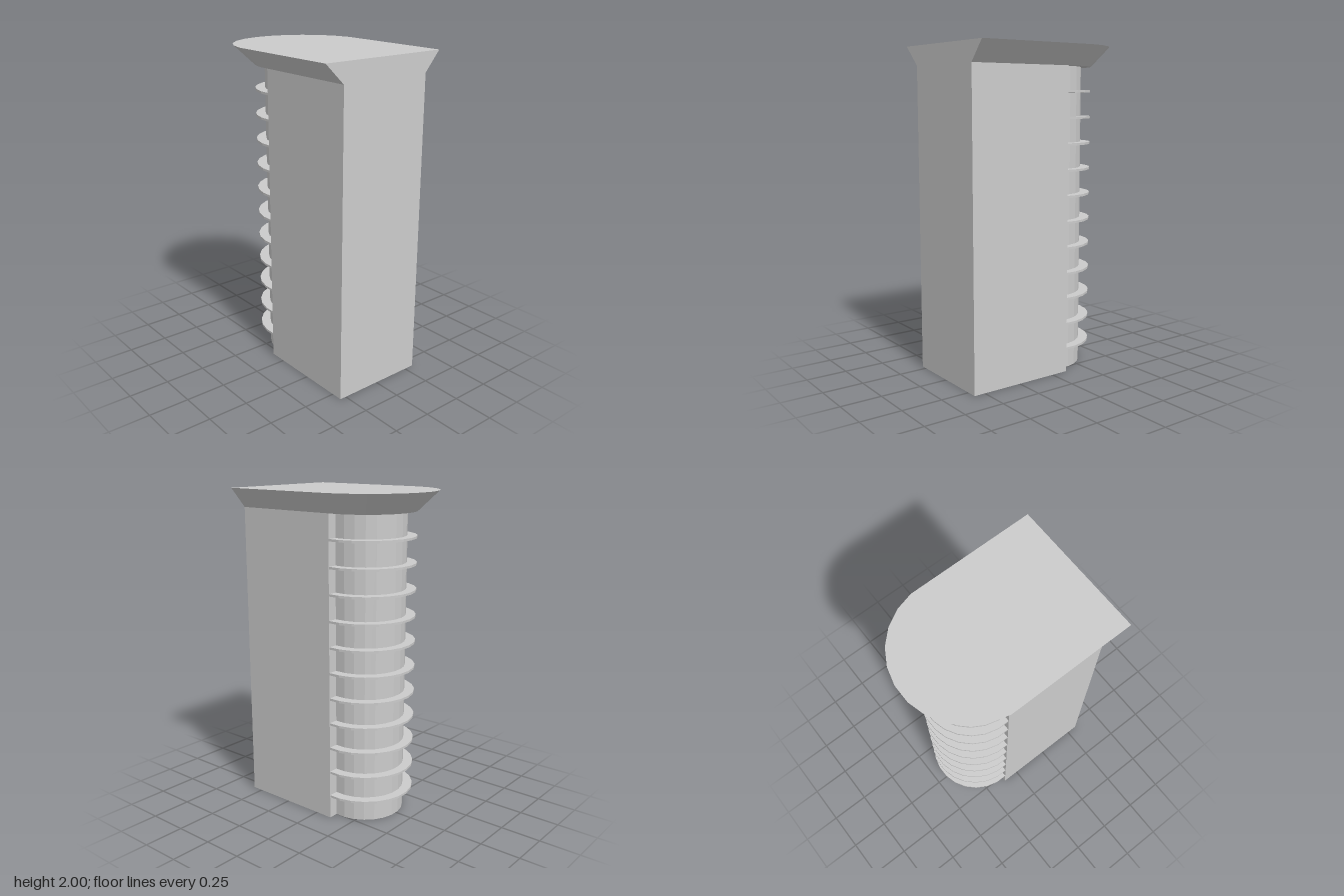
import * as THREE from 'three';

const material = new THREE.MeshStandardMaterial({ color: 0xcccccc, flatShading: true, side: THREE.DoubleSide });
const END_X = 0.57, JOIN_X = -0.11, EAVE_Y = 1.88, TOP_Y = 2;
const HALF = 0.303, MID_Z = -0.012;

// U-shaped plan: straight sides from xEnd, rounded toward -x in 15 degree facets
function uPlan(half, cx, cz, xEnd) {
  const r = half / Math.sin(THREE.MathUtils.degToRad(82.5));
  const pts = [[xEnd, cz + half]];
  for (let k = 0; k < 12; k++) {
    const a = THREE.MathUtils.degToRad(82.5 - 15 * k);
    pts.push([cx - r * Math.cos(a), cz + r * Math.sin(a)]);
  }
  pts.push([xEnd, cz - half]);
  return pts;
}

// Wall strip joining a lower plan at y0 to an upper plan at y1
function band(lower, upper, y0, y1, closed = false) {
  const pos = [], n = lower.length;
  for (let i = 0; i < (closed ? n : n - 1); i++) {
    const j = (i + 1) % n;
    const a = [lower[i][0], y0, lower[i][1]], b = [lower[j][0], y0, lower[j][1]];
    const c = [upper[j][0], y1, upper[j][1]], d = [upper[i][0], y1, upper[i][1]];
    pos.push(...b, ...a, ...d, ...b, ...d, ...c);
  }
  const g = new THREE.BufferGeometry();
  g.setAttribute('position', new THREE.Float32BufferAttribute(pos, 3));
  g.computeVertexNormals();
  return g;
}

// Flat cap over a plan, facing up or down
function cap(plan, y, up) {
  const s = up ? -1 : 1;
  const shape = new THREE.Shape(plan.map(([x, z]) => new THREE.Vector2(x, s * z)));
  return new THREE.ShapeGeometry(shape).rotateX(s * Math.PI / 2).translate(0, y, 0);
}

export function createModel() {
  const model = new THREE.Group();
  const add = (geometry, name, parent = model) => {
    const mesh = new THREE.Mesh(geometry, material);
    mesh.name = name;
    parent.add(mesh);
    return mesh;
  };

  // Hollow rectangular block with narrow returns beside the round bay
  const bayHalf = 0.242, z = (h) => MID_Z + h;
  const blockPlan = [
    [JOIN_X, z(-bayHalf)], [JOIN_X, z(-HALF)], [END_X, z(-HALF)],
    [END_X, z(HALF)], [JOIN_X, z(HALF)], [JOIN_X, z(bayHalf)],
  ];
  add(band(blockPlan, blockPlan, 0, EAVE_Y), 'blockWalls');

  // Rounded bay
  const bayPlan = uPlan(bayHalf, -0.143, MID_Z, JOIN_X);
  add(band(bayPlan, bayPlan, 0, EAVE_Y), 'roundBay');

  // Stacked thin ledges around the bay
  const ledges = new THREE.Group();
  ledges.name = 'ledges';
  model.add(ledges);
  const ledgePlan = [
    ...uPlan(HALF - 0.002, -0.143, MID_Z, JOIN_X),
    ...uPlan(0.228, -0.143, MID_Z, JOIN_X).reverse(),
  ];
  const ledgeShape = new THREE.Shape(ledgePlan.map((p) => new THREE.Vector2(...p)));
  const ledge = new THREE.ExtrudeGeometry(ledgeShape, { depth: 0.014, bevelEnabled: false }).rotateX(Math.PI / 2);
  for (let i = 0; i < 11; i++) add(ledge, 'ledge', ledges).position.y = 0.152 + i * 0.1585;

  // Flared roof, flush with the flat end
  const roof = new THREE.Group();
  roof.name = 'roof';
  model.add(roof);
  const eave = uPlan(HALF, -0.143, MID_Z, END_X);
  const rim = uPlan(0.4165, -0.15, -0.002, END_X);
  add(band(eave, rim, EAVE_Y, TOP_Y, true), 'roofFlare', roof);
  add(cap(rim, TOP_Y, true), 'roofTop', roof);
  add(cap(eave, EAVE_Y, false), 'roofUnderside', roof);

  return model;
}
